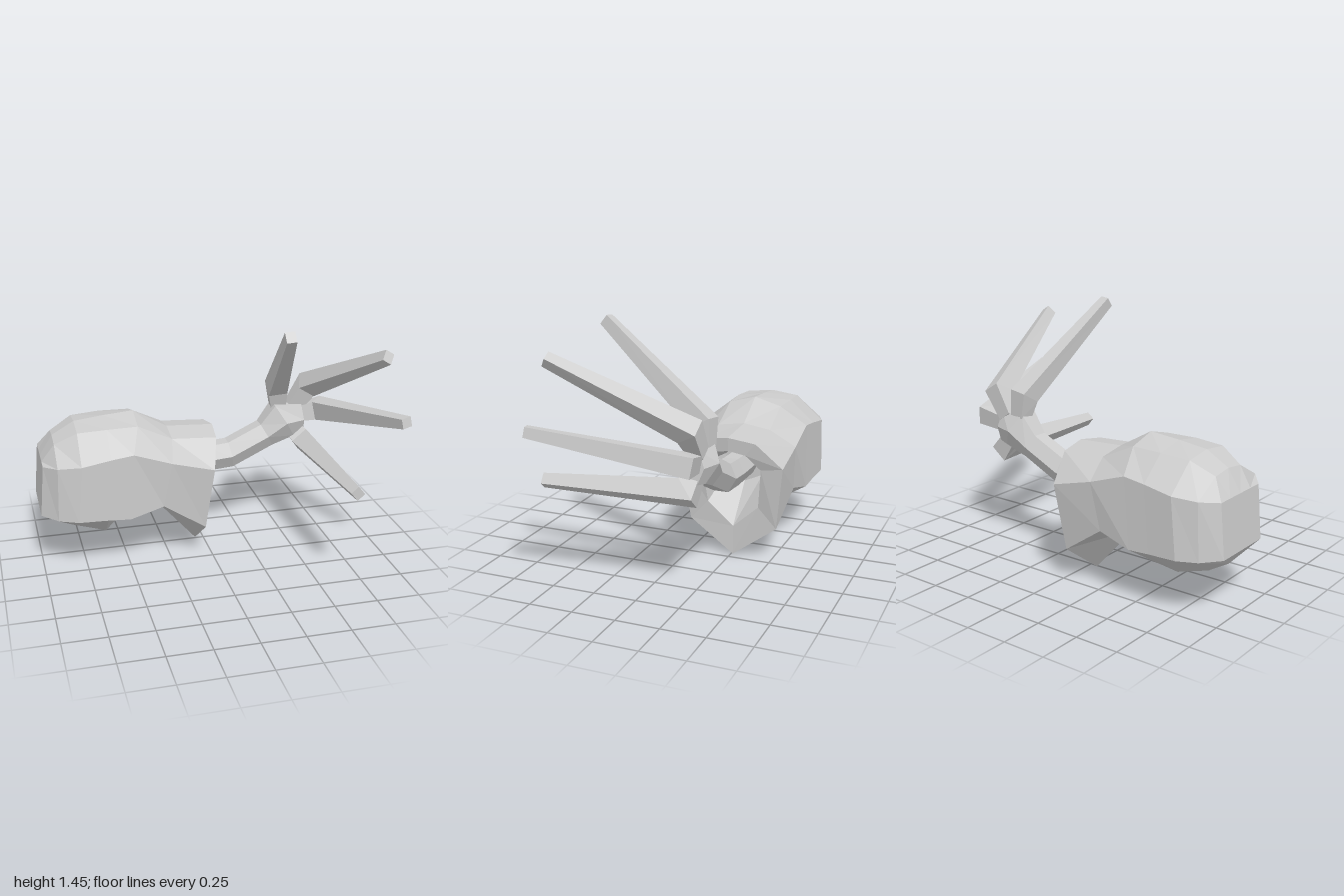
import * as THREE from 'three';

const material = new THREE.MeshStandardMaterial({ color: 0xcccccc, flatShading: true });

// Skin a list of equal-length point rings and close both ends.
function loft(name, rings) {
  const pos = [];
  const tri = (...pts) => pts.forEach((p) => pos.push(p.x, p.y, p.z));
  const n = rings[0].length;
  for (let i = 0; i + 1 < rings.length; i++) {
    for (let j = 0; j < n; j++) {
      const k = (j + 1) % n;
      const a = rings[i][j], b = rings[i][k], c = rings[i + 1][k], d = rings[i + 1][j];
      tri(a, b, c);
      tri(a, c, d);
    }
  }
  const first = rings[0], last = rings[rings.length - 1];
  for (let j = 1; j + 1 < n; j++) {
    tri(first[0], first[j + 1], first[j]);
    tri(last[0], last[j], last[j + 1]);
  }
  const geometry = new THREE.BufferGeometry();
  geometry.setAttribute('position', new THREE.Float32BufferAttribute(pos, 3));
  geometry.computeVertexNormals();
  const mesh = new THREE.Mesh(geometry, material);
  mesh.name = name;
  return mesh;
}

// Eight-point sleeve section, mirrored about z = -0.26. Each entry is [x, y, half width].
function sleeveRing(top, upper, side, lower, bottom) {
  const half = [upper, side, lower];
  const point = ([x, y, w = 0], s) => new THREE.Vector3(x, y, -0.26 + s * w);
  return [
    point(top, 1), ...half.map((p) => point(p, 1)),
    point(bottom, 1), ...half.reverse().map((p) => point(p, -1)),
  ];
}

function createSleeve() {
  return loft('sleeve', [
    // rounded closed end
    sleeveRing([-0.975, 0.65], [-0.975, 0.65, 0.1], [-0.975, 0.65, 0.185], [-1, 0.35, 0.185], [-1, 0.35]),
    sleeveRing([-0.9, 0.77], [-0.9, 0.755, 0.12], [-0.9, 0.665, 0.28], [-0.91, 0.347, 0.28], [-0.92, 0.25]),
    sleeveRing([-0.77, 0.845], [-0.77, 0.825, 0.16], [-0.77, 0.68, 0.325], [-0.8, 0.345, 0.325], [-0.8, 0.18]),
    // swollen middle and narrow waist
    sleeveRing([-0.6, 0.865], [-0.6, 0.835, 0.17], [-0.6, 0.705, 0.315], [-0.63, 0.335, 0.315], [-0.605, 0.12]),
    sleeveRing([-0.42, 0.88], [-0.42, 0.835, 0.16], [-0.47, 0.72, 0.31], [-0.5, 0.325, 0.31], [-0.53, 0.2]),
    sleeveRing([-0.22, 0.765], [-0.22, 0.74, 0.16], [-0.25, 0.645, 0.31], [-0.3, 0.375, 0.29], [-0.3, 0.29]),
    // cuff rim, outer then inner, and the pocket behind it
    sleeveRing([0.06, 0.75], [0.045, 0.725, 0.16], [0, 0.58, 0.31], [-0.045, 0.2, 0.265], [-0.05, 0.005]),
    sleeveRing([0.05, 0.67], [0.04, 0.65, 0.1], [0, 0.56, 0.18], [-0.04, 0.32, 0.155], [-0.05, 0.18]),
    sleeveRing([-0.25, 0.63], [-0.25, 0.62, 0.06], [-0.25, 0.56, 0.12], [-0.25, 0.45, 0.11], [-0.25, 0.4]),
  ]);
}

// Six-sided forearm widening into the palm: [x, y, tilt, half height, half width].
function createForearm() {
  const sections = [
    [-0.25, 0.535, 0, 0.09, 0.08],
    [0.02, 0.54, 0, 0.092, 0.083],
    [0.17, 0.553, 0.2, 0.093, 0.085],
    [0.395, 0.66, 0.5, 0.09, 0.085],
    [0.505, 0.745, 0.55, 0.135, 0.11],
    [0.625, 0.745, 0.1, 0.105, 0.07],
  ];
  return loft('forearmAndPalm', sections.map(([x, y, tilt, h, w]) =>
    Array.from({ length: 6 }, (_, i) => {
      const a = (i + 0.5) * Math.PI / 3;
      const up = h * Math.cos(a);
      return new THREE.Vector3(x - up * Math.sin(tilt), y + up * Math.cos(tilt), -0.27 + w * Math.sin(a));
    })));
}

// Square tapered finger with a mitred bend at the knuckle.
function createFinger(name, points) {
  const [p0, p1, p2] = points.map((p) => new THREE.Vector3(...p));
  const d1 = p1.clone().sub(p0).normalize();
  const d2 = p2.clone().sub(p1).normalize();
  const mid = d1.clone().add(d2).normalize();
  const side = d1.clone().cross(d2).normalize();
  const stretch = 1 / mid.dot(d1);
  const ring = (p, dir, w, h) => {
    const n = side.clone().cross(dir);
    return [[1, -1], [1, 1], [-1, 1], [-1, -1]].map(([a, b]) =>
      p.clone().addScaledVector(n, a * h).addScaledVector(side, b * w));
  };
  return loft(name, [
    ring(p0, d1, 0.045, 0.04),
    ring(p1, mid, 0.056, 0.058 * stretch),
    ring(p2, d2, 0.028, 0.032),
  ]);
}

export function createModel() {
  const model = new THREE.Group();
  model.name = 'sleevedArm';
  model.add(createSleeve(), createForearm());

  const hand = new THREE.Group();
  hand.name = 'fingers';
  hand.add(
    createFinger('upperFinger', [[0.48, 0.82, -0.29], [0.465, 0.945, -0.275], [0.34, 1.43, 0.345]]),
    createFinger('middleFinger', [[0.575, 0.81, -0.29], [0.66, 0.945, -0.275], [0.87, 1.305, 0.425]]),
    createFinger('lowerFinger', [[0.59, 0.765, -0.28], [0.735, 0.79, -0.275], [0.97, 0.945, 0.5]]),
    createFinger('thumb', [[0.56, 0.69, -0.27], [0.63, 0.605, -0.25], [0.675, 0.585, 0.575]]),
  );
  model.add(hand);
  return model;
}
